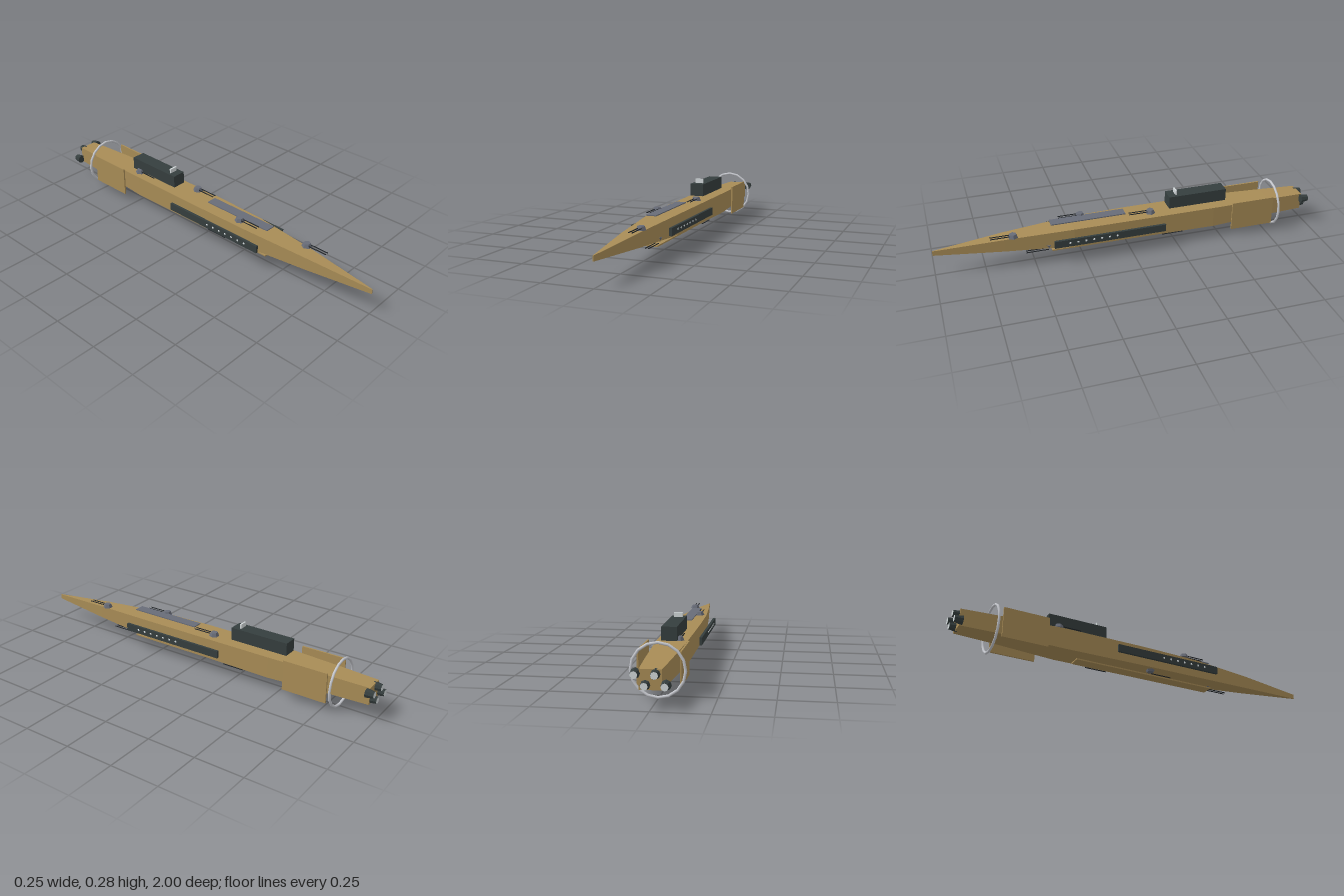
import * as THREE from 'three';

const mat = (name, color, flat = true) => {
  const m = new THREE.MeshStandardMaterial({ color, flatShading: flat });
  m.name = name;
  return m;
};

export function createModel() {
  const model = new THREE.Group();
  model.name = 'spaceship';
  const tan = mat('tanHull', 0xa88c56);
  const dark = mat('darkPlating', 0x353e3e);
  const gunGrey = mat('gunGrey', 0x686c78);
  const silver = mat('silverRing', 0xc6c8ce, false);
  const pale = mat('paleGlow', 0xd2d8da);
  const black = mat('gunBarrel', 0x202428);

  const add = (name, geo, material, x, y, z, parent = model) => {
    const mesh = new THREE.Mesh(geo, material);
    mesh.name = name;
    mesh.position.set(x, y, z);
    parent.add(mesh);
    return mesh;
  };
  // Box given by its limits
  const box = (name, material, x0, x1, y0, y1, z0, z1) =>
    add(name, new THREE.BoxGeometry(x1 - x0, y1 - y0, z1 - z0), material,
      (x0 + x1) / 2, (y0 + y1) / 2, (z0 + z1) / 2);

  // Hull: rectangular sections as [z, half width, bottom, top]
  const sections = [
    [-0.97, 0.048, 0.084, 0.171],
    [-0.77, 0.059, 0.083, 0.176],
    [-0.45, 0.073, 0.073, 0.183],
    [0.0, 0.073, 0.078, 0.183],
    [0.3, 0.067, 0.082, 0.18],
    [0.65, 0.038, 0.098, 0.165],
    [1.0, 0.002, 0.117, 0.142],
  ];
  const n = sections.length - 1;
  const hull = new THREE.BoxGeometry(1, 1, 1, 1, 1, n);
  const p = hull.attributes.position;
  for (let i = 0; i < p.count; i++) {
    const [z, w, lo, hi] = sections[Math.round((p.getZ(i) + 0.5) * n)];
    p.setXYZ(i, Math.sign(p.getX(i)) * w, p.getY(i) > 0 ? hi : lo, z);
  }
  hull.computeVertexNormals();
  add('hull', hull, tan, 0, 0, 0);

  // Bridge, sensor, deck plate and keel plate
  box('bridge', dark, -0.036, 0.036, 0.199, 0.264, -0.528, -0.214);
  box('sensorScreen', pale, -0.021, 0.021, 0.262, 0.287, -0.261, -0.253);
  box('deckPlate', gunGrey, -0.026, 0.026, 0.199, 0.204, 0.02, 0.41);
  box('keelPlate', tan, -0.031, 0.031, 0.051, 0.058, -0.37, 0.41);

  // Side panels with lamps, and rear fins
  for (const s of [-1, 1]) {
    add('sidePanel', new THREE.BoxGeometry(0.013, 0.039, 0.585), dark, s * 0.0985, 0.129, 0.1175);
    for (let i = 0; i < 7; i++) {
      add('panelLamp', new THREE.SphereGeometry(0.007, 6, 4), pale, s * 0.102, 0.13, 0.085 + i * 0.041);
    }
    add('rearFin', new THREE.BoxGeometry(0.008, 0.155, 0.232), tan, s * 0.0935, 0.128, -0.662);
  }

  // Ring around the stern
  add('sternRing', new THREE.TorusGeometry(0.119, 0.0065, 8, 16), silver, 0, 0.128, -0.805);

  // Twin-gun turrets as [x, base y, z, up or down]
  const turrets = [
    [0.036, 0.173, 0.605, 1],
    [-0.037, 0.193, 0.245, 1],
    [0.036, 0.193, -0.11, 1],
    [-0.037, 0.193, -0.475, 1],
    [0.037, 0.105, 0.43, -1],
    [-0.037, 0.085, 0.04, -1],
    [0.037, 0.085, -0.29, -1],
  ];
  for (const [x, y, z, up] of turrets) {
    const turret = new THREE.Group();
    turret.name = 'turret';
    turret.position.set(x, y, z);
    model.add(turret);
    const body = new THREE.CylinderGeometry(up > 0 ? 0.018 : 0.026, up > 0 ? 0.026 : 0.018, 0.019, 6);
    body.rotateY(Math.PI / 6);
    add('turretBody', body, gunGrey, 0, up * 0.0095, 0, turret);
    for (const s of [-1, 1]) {
      const barrel = new THREE.CylinderGeometry(0.0028, 0.0028, 0.115, 6);
      barrel.rotateX(Math.PI / 2);
      add('barrel', barrel, black, s * 0.0085, up > 0 ? 0.01 : -0.03, 0.0575, turret);
    }
  }

  // Four staggered engines with glowing exhausts
  [-0.063, -0.021, 0.021, 0.063].forEach((x, i) => {
    const y = i % 2 ? 0.151 : 0.105;
    const nozzle = new THREE.CylinderGeometry(0.023, 0.017, 0.04, 8);
    nozzle.rotateX(Math.PI / 2);
    add('engineNozzle', nozzle, dark, x, y, -0.979);
    const glow = new THREE.CircleGeometry(0.0165, 8);
    glow.rotateY(Math.PI);
    add('engineGlow', glow, pale, x, y, -1);
  });

  return model;
}
